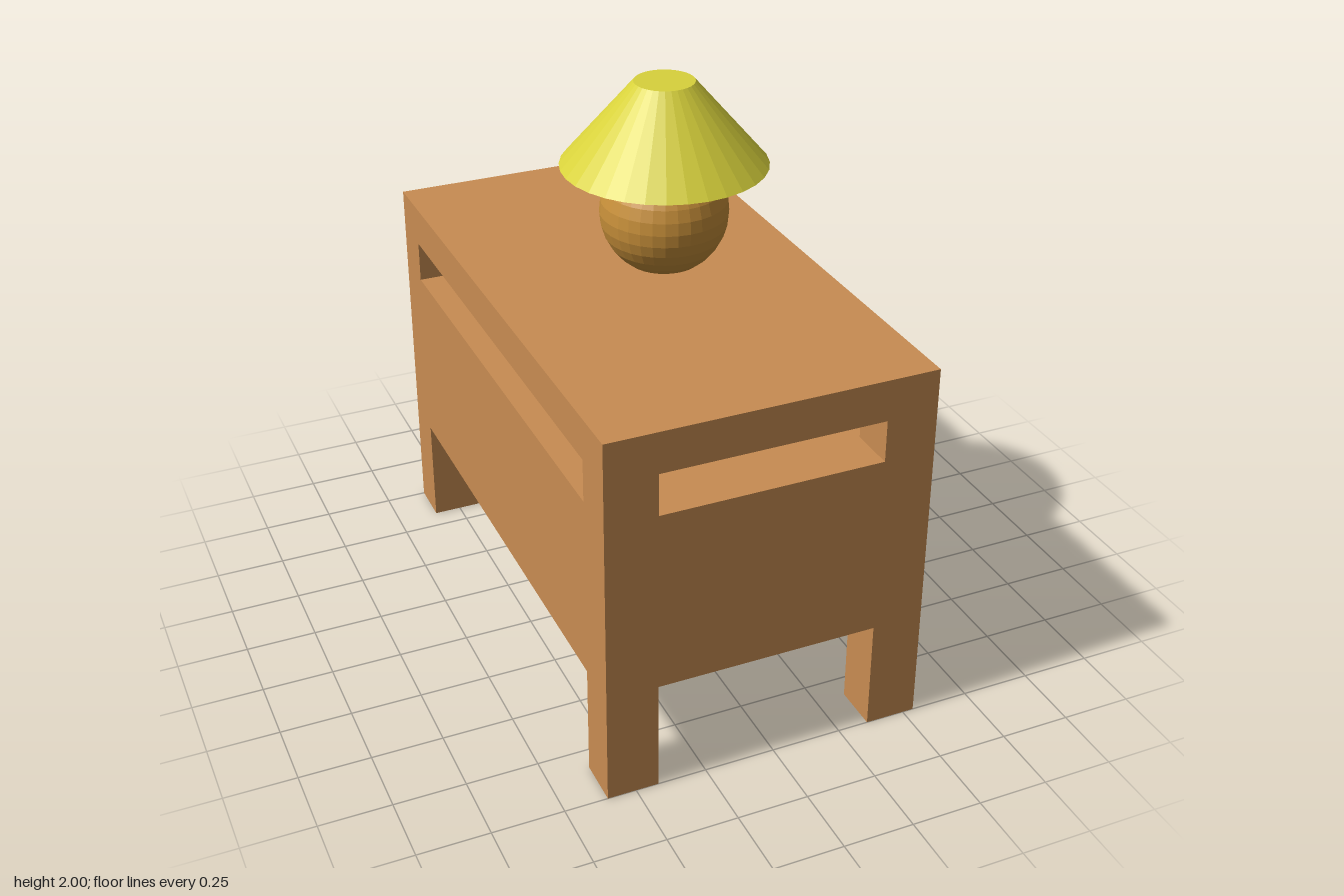
import * as THREE from 'three';

const mat = (color, opts = {}) => new THREE.MeshStandardMaterial({ color, ...opts });
const wood = mat(0xc88c52);
const steel = mat(0xcccccc);
const shadeMat = mat(0xd8d23c, { flatShading: true, side: THREE.DoubleSide });
const ballMat = mat(0xc8903a, { flatShading: true });
const bulbMat = mat(0xe8e020);

function add(parent, name, geometry, material, x = 0, y = 0, z = 0) {
  const mesh = new THREE.Mesh(geometry, material);
  mesh.name = name;
  mesh.position.set(x, y, z);
  parent.add(mesh);
  return mesh;
}

// Box given by its extents on each axis
function box(parent, name, material, [x0, x1], [y0, y1], [z0, z1]) {
  return add(parent, name, new THREE.BoxGeometry(x1 - x0, y1 - y0, z1 - z0), material,
    (x0 + x1) / 2, (y0 + y1) / 2, (z0 + z1) / 2);
}

// Straight round rod between two points
function rod(parent, name, a, b, radius, material) {
  const curve = new THREE.LineCurve3(new THREE.Vector3(...a), new THREE.Vector3(...b));
  return add(parent, name, new THREE.TubeGeometry(curve, 1, radius, 8), material);
}

function createCabinet() {
  const g = new THREE.Group();
  g.name = 'cabinet';
  const back = -0.6, front = 0.54, inner = 0.835;

  // End frames: two legs, a panel and a window slot
  const outline = new THREE.Shape([
    [back, 0], [-0.42, 0], [-0.42, 0.4], [0.36, 0.4], [0.36, 0],
    [front, 0], [front, 1.2], [back, 1.2],
  ].map(p => new THREE.Vector2(...p)));
  // The slot is open to the top board
  const slot = new THREE.Path([[-0.42, 1.05], [-0.42, 1.199], [0.36, 1.199], [0.36, 1.05]]
    .map(p => new THREE.Vector2(...p)));
  outline.holes.push(slot);
  const endGeo = new THREE.ExtrudeGeometry(outline, { depth: 1 - inner, bevelEnabled: false });
  add(g, 'endFrameLeft', endGeo, wood, 0, 0, inner);
  add(g, 'endFrameRight', endGeo, wood, 0, 0, -1);

  // Boards
  const span = [-inner, inner];
  box(g, 'topBoard', wood, [back, front], [1.2, 1.345], [-1, 1]);
  box(g, 'shelf', wood, [back, front], [1.0, 1.05], span);
  box(g, 'bottomBoard', wood, [back, front], [0.4, 0.45], span);
  box(g, 'backPanel', wood, [back, back + 0.05], [0.45, 1.0], span);

  // Drawers with bar handles
  for (const [name, y0, y1, hy] of [['upperDrawer', 0.69, 0.965, 0.83], ['lowerDrawer', 0.452, 0.66, 0.555]]) {
    const drawer = new THREE.Group();
    drawer.name = name;
    box(drawer, 'drawerBody', wood, [back + 0.06, front - 0.002], [y0, y1], [-0.82, 0.832]);
    const h = [hy - 0.011, hy + 0.011];
    box(drawer, 'handleBar', steel, [0.575, 0.6], h, [-0.135, 0.13]);
    for (const z of [-0.135, 0.108]) {
      box(drawer, 'handlePost', steel, [front - 0.005, 0.575], h, [z, z + 0.022]);
    }
    g.add(drawer);
  }
  return g;
}

function createLamp() {
  const g = new THREE.Group();
  g.name = 'lamp';
  g.position.set(0.07, 0, -0.08);

  add(g, 'lampBase', new THREE.SphereGeometry(0.225, 32, 16), ballMat, 0, 1.53, 0);

  // Conical shade, closed above and open below
  const profile = [[0.36, 1.705], [0.105, 2], [0, 2]].map(p => new THREE.Vector2(...p));
  add(g, 'lampShade', new THREE.LatheGeometry(profile, 32), shadeMat);

  // Socket, bulb and shade supports
  add(g, 'socket', new THREE.CylinderGeometry(0.025, 0.025, 0.07, 16), steel, 0, 1.78, 0);
  add(g, 'bulb', new THREE.SphereGeometry(0.045, 16, 12), bulbMat, 0, 1.85, 0);
  for (let i = 0; i < 3; i++) {
    const a = i * Math.PI * 2 / 3;
    const c = Math.cos(a), s = Math.sin(a);
    rod(g, 'shadeSupport', [0, 1.77, 0], [0.22 * c, 1.85, 0.22 * s], 0.006, steel);
  }
  return g;
}

export function createModel() {
  const model = new THREE.Group();
  model.name = 'bedsideCabinetWithLamp';
  model.add(createCabinet(), createLamp());
  return model;
}
